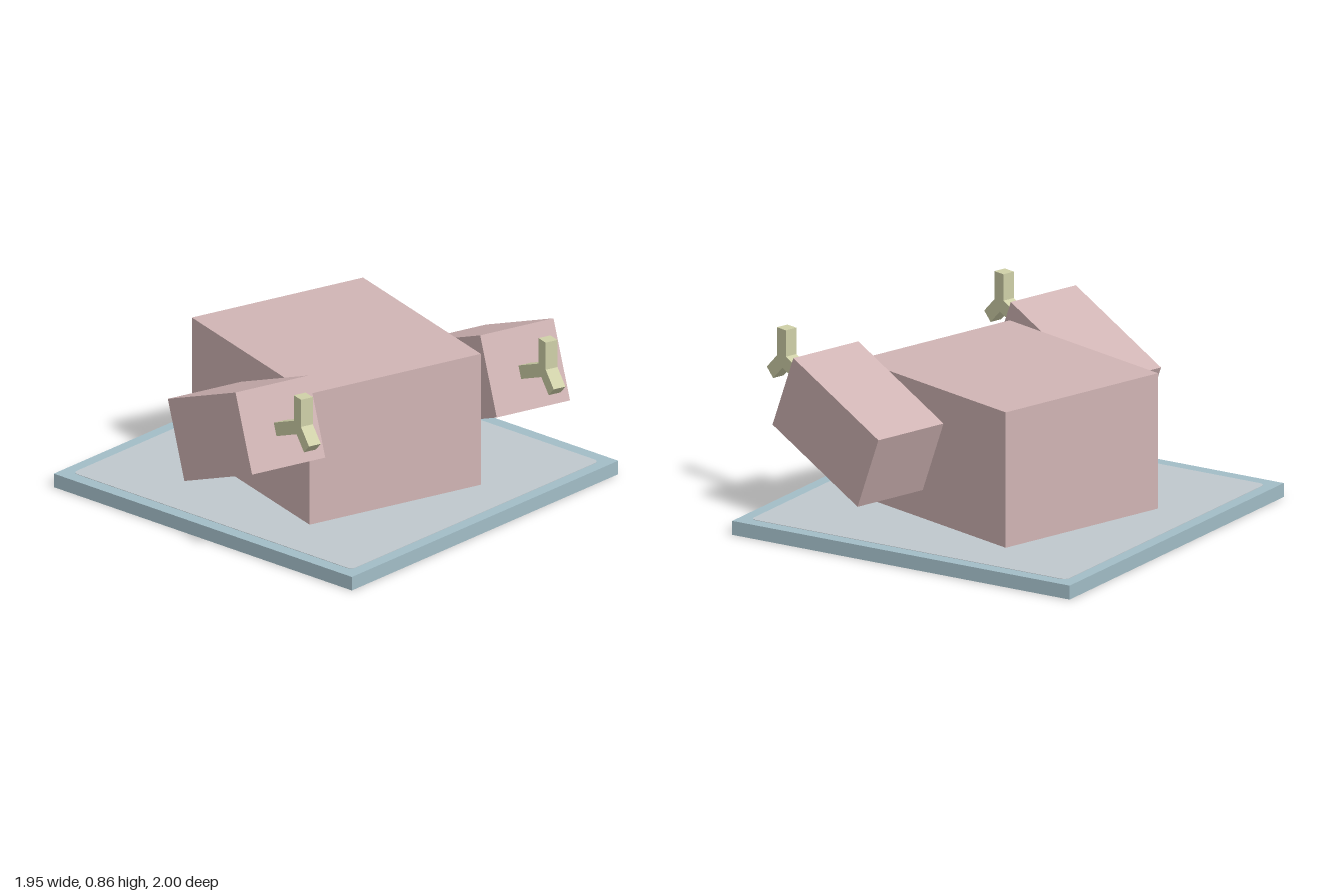
import * as THREE from 'three';

const material = (name, color) => {
  const m = new THREE.MeshStandardMaterial({ color });
  m.name = name;
  return m;
};

const box = (name, mat, w, h, d, x = 0, y = 0, z = 0) => {
  const mesh = new THREE.Mesh(new THREE.BoxGeometry(w, h, d), mat);
  mesh.name = name;
  mesh.position.set(x, y, z);
  return mesh;
};

const roundedRect = (w, h, r) => {
  const s = new THREE.Shape();
  const a = w / 2 - r, b = h / 2 - r;
  s.absarc(a, b, r, 0, Math.PI / 2);
  s.absarc(-a, b, r, Math.PI / 2, Math.PI);
  s.absarc(-a, -b, r, Math.PI, Math.PI * 1.5);
  s.absarc(a, -b, r, Math.PI * 1.5, Math.PI * 2);
  s.closePath();
  return s;
};

export function createModel() {
  const pink = material('dusty pink', 0xd0b4b4);
  const blue = material('slab blue', 0xa2bdc7);
  const grey = material('pale grey', 0xbfc8cd);
  const olive = material('pale olive', 0xcfd0a8);

  const model = new THREE.Group();
  model.name = 'blockFigureOnSlab';

  // Square slab with a thin round-cornered inlay
  model.add(box('baseSlab', blue, 1.86, 0.068, 1.855, 0.045, 0.034, -0.0725));
  const inlay = new THREE.Mesh(
    new THREE.ExtrudeGeometry(roundedRect(1.73, 1.735, 0.03), { depth: 0.003, bevelEnabled: false, curveSegments: 6 }),
    grey
  );
  inlay.name = 'baseInlay';
  inlay.rotation.x = -Math.PI / 2;
  inlay.position.set(0.045, 0.067, -0.0725);
  model.add(inlay);

  // Figure turned slightly on the slab
  const figure = new THREE.Group();
  figure.name = 'figure';
  figure.position.set(0.048, 0, -0.073);
  figure.rotation.y = -0.302;
  model.add(figure);
  figure.add(box('body', pink, 0.928, 0.662, 1.063, 0, 0.399, 0));

  // Raised arms, each with a forked claw
  const t = 0.064, fork = THREE.MathUtils.degToRad(67.5);
  for (const side of [1, -1]) {
    const arm = new THREE.Group();
    arm.name = side > 0 ? 'leftArm' : 'rightArm';
    arm.position.set(side * 0.663, 0.514, 0.294);
    arm.rotation.x = -Math.PI / 8;
    arm.add(box('armBlock', pink, 0.397, 0.39, 0.661));

    const claw = new THREE.Group();
    claw.name = 'claw';
    claw.position.set(0, -0.014, 0.5485);
    claw.add(box('clawStem', olive, t, t, 0.24, 0, 0, -0.12));
    for (const [name, angle, length] of [['upperProng', -fork, 0.15], ['lowerProng', fork, 0.116]]) {
      const prong = new THREE.Group();
      prong.rotation.x = angle;
      prong.add(box(name, olive, t, t, length, 0, 0, length / 2));
      claw.add(prong);
    }
    arm.add(claw);
    figure.add(arm);
  }
  return model;
}
